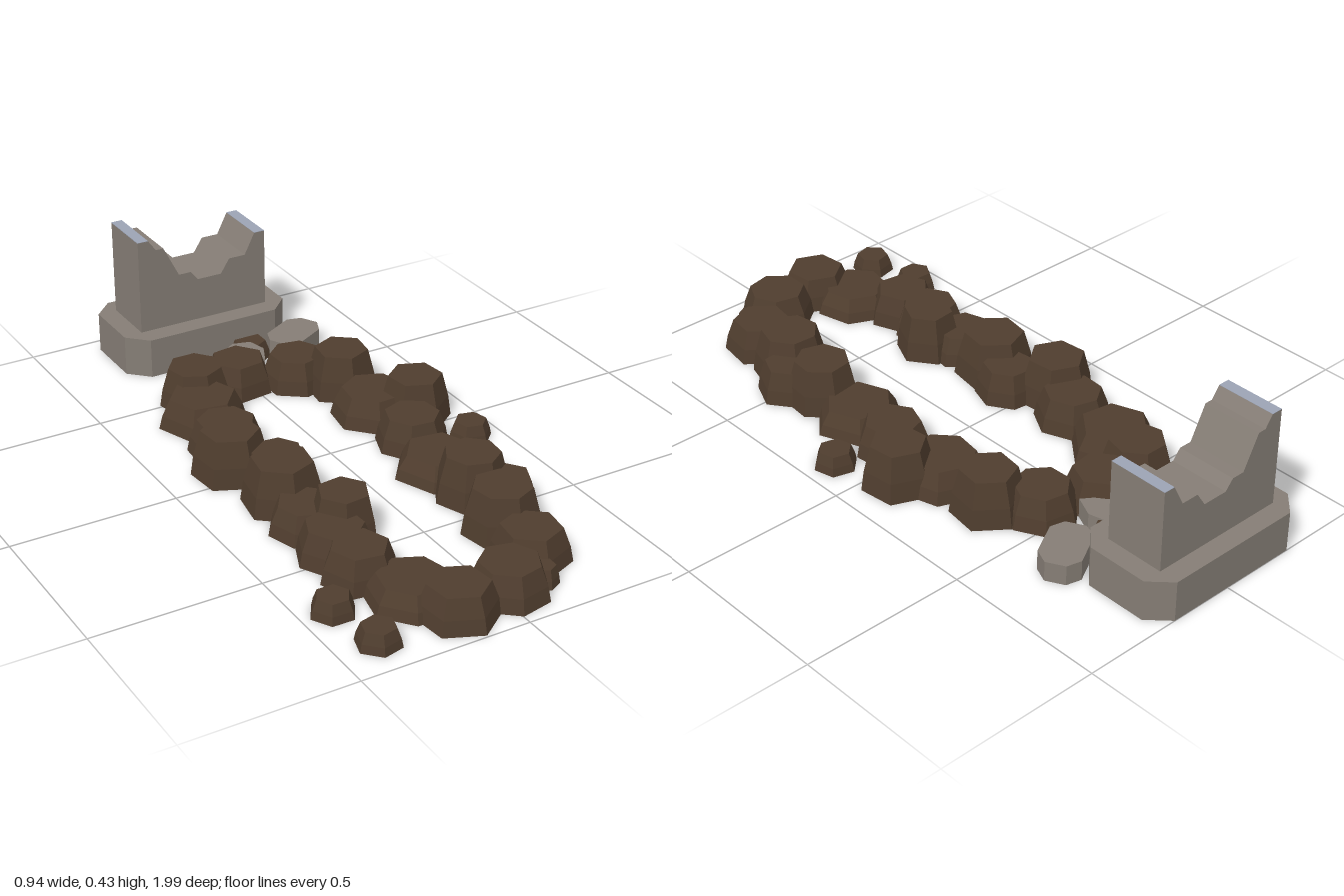
import * as THREE from 'three';

const material = (color) => new THREE.MeshStandardMaterial({ color, flatShading: true });
const stone = material(0x857d75);
const soil = material(0x4f3d2e);
const pale = material(0x9ca3b4);

function add(parent, name, geometry, mat, x = 0, y = 0, z = 0) {
  const mesh = new THREE.Mesh(geometry, mat);
  mesh.name = name;
  mesh.position.set(x, y, z);
  parent.add(mesh);
  return mesh;
}

// Lump with steep, slightly rounded sides and a flat top
function lump(r, h, sides) {
  const profile = [[0, 0], [1, 0], [0.92, 0.45], [0.74, 1], [0, 1]];
  return new THREE.LatheGeometry(profile.map(([a, b]) => new THREE.Vector2(a * r, b * h)), sides);
}

function extrude(points, depth) {
  const shape = new THREE.Shape(points.map(([x, y]) => new THREE.Vector2(x, y)));
  return new THREE.ExtrudeGeometry(shape, { depth, bevelEnabled: false });
}

// Flat prism standing on the ground, outlined in x and z
function slab(points, height) {
  return extrude(points.map(([x, z]) => [x, -z]), height).rotateX(-Math.PI / 2);
}

export function createModel() {
  const group = new THREE.Group();
  group.name = 'grave';

  // Plinth with cut corners
  const [l, r, b, f, c] = [-0.295, 0.26, -1, -0.69, 0.06];
  add(group, 'plinth', slab([
    [l + c, f], [r - c, f], [r, f - c], [r, b + c],
    [r - c, b], [l + c, b], [l, b + c], [l, f - c],
  ], 0.125), stone);

  // Headstone with a broken, stepped top edge
  add(group, 'headstone', extrude([
    [-0.235, 0.12], [0.2, 0.12], [0.2, 0.372], [0.165, 0.372], [0.13, 0.305],
    [0.075, 0.305], [0.045, 0.26], [-0.035, 0.26], [-0.06, 0.29], [-0.1, 0.29],
    [-0.15, 0.39], [-0.175, 0.39], [-0.2, 0.425], [-0.235, 0.425],
  ], 0.185), stone, 0, 0, -0.94);

  // Pale upper faces of the two remaining corners
  for (const [x, y] of [[-0.2175, 0.425], [0.1825, 0.372]])
    add(group, 'headstoneTip', new THREE.BoxGeometry(0.035, 0.002, 0.185), pale, x, y, -0.8475);

  // Ring of soil clods: x, z, radius, height
  const clods = [
    [-0.19, -0.485, 0.11, 0.12], [-0.035, -0.5, 0.11, 0.1], [0.135, -0.44, 0.11, 0.1],
    [0.23, -0.33, 0.11, 0.14], [0.23, -0.14, 0.13, 0.09], [0.33, -0.07, 0.11, 0.14],
    [0.235, 0.065, 0.11, 0.1], [0.215, 0.24, 0.135, 0.07], [0.22, 0.4, 0.11, 0.14],
    [0.265, 0.5, 0.1, 0.1], [0.19, 0.59, 0.115, 0.14], [0.175, 0.75, 0.115, 0.1],
    [0.03, 0.86, 0.115, 0.1], [-0.14, 0.88, 0.115, 0.1], [-0.2, 0.755, 0.13, 0.07],
    [-0.265, 0.6, 0.11, 0.1], [-0.27, 0.48, 0.11, 0.1], [-0.195, 0.4, 0.1, 0.14],
    [-0.265, 0.32, 0.11, 0.085], [-0.255, 0.17, 0.12, 0.14], [-0.21, 0.06, 0.1, 0.1],
    [-0.3, -0.05, 0.115, 0.14], [-0.25, -0.17, 0.115, 0.1], [-0.23, -0.36, 0.135, 0.09],
  ];
  clods.forEach(([x, z, rad, h], i) => {
    add(group, 'soilClod', lump(rad, h, 7 - (i % 2)), soil, x, 0, z).rotation.y = i * 1.7;
  });

  // Loose crumbs around the ring
  const crumbs = [
    [0.095, -0.665, 0.065], [0.405, 0.117, 0.065], [-0.41, 0.71, 0.065],
    [-0.38, 0.885, 0.065], [0.135, 0.865, 0.045],
  ];
  crumbs.forEach(([x, z, rad], i) => {
    add(group, 'soilCrumb', lump(rad, 0.055, 6), soil, x, 0, z).rotation.y = i * 1.3;
  });

  // Chips broken off the headstone
  const chip = [[-0.095, 0.03], [-0.06, 0.062], [0.05, 0.062], [0.09, 0.03],
    [0.09, -0.03], [0.055, -0.062], [-0.06, -0.062], [-0.095, -0.03]];
  add(group, 'largeChip', slab(chip, 0.062), stone, 0.24, 0, -0.64).rotation.y = 0.5;
  add(group, 'smallChip', slab([
    [-0.06, -0.03], [-0.05, 0.02], [0.03, 0.075], [0.06, 0.01], [0.045, -0.05], [-0.01, -0.065],
  ], 0.06), stone, 0.04, 0, -0.595);

  return group;
}
